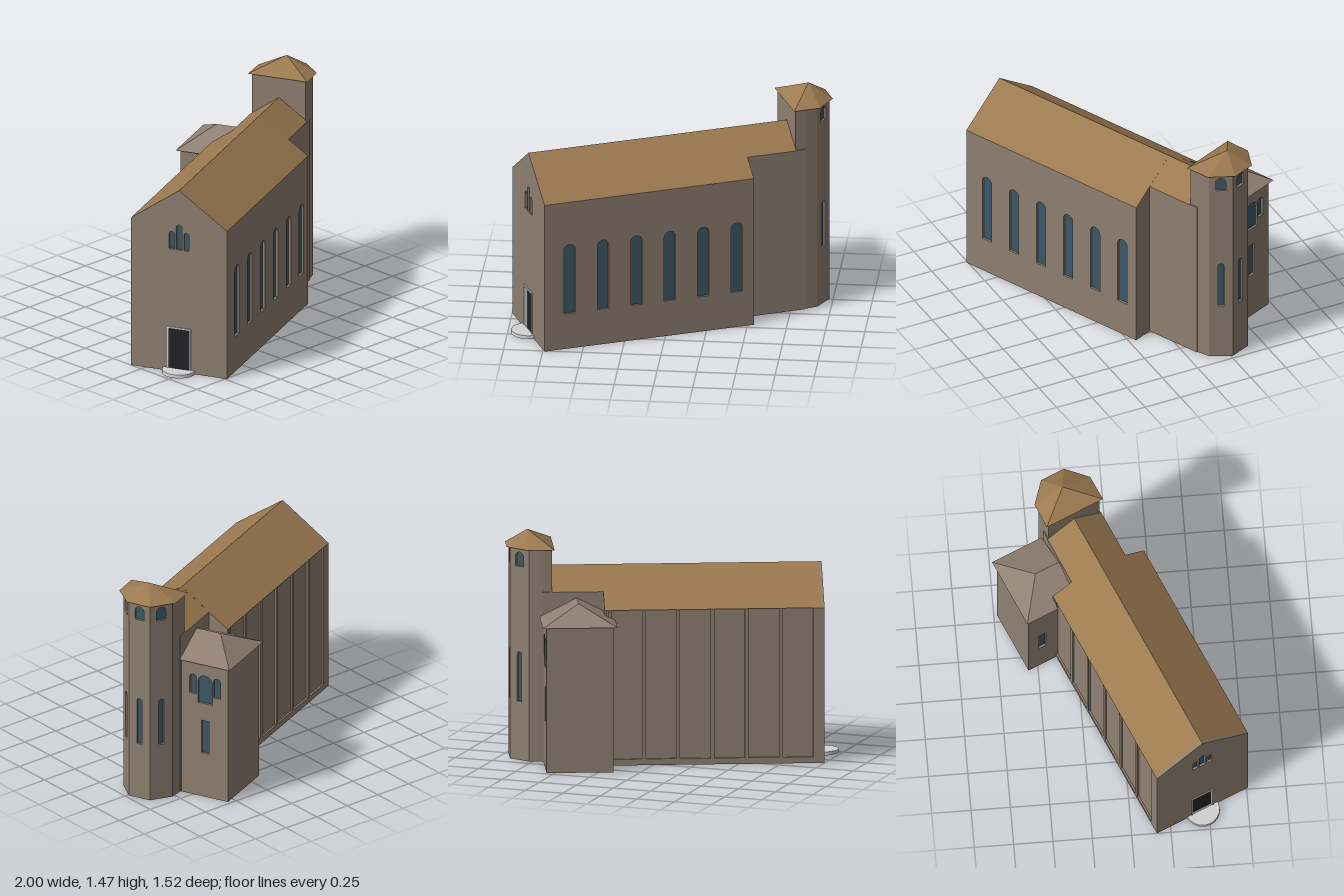
import * as THREE from 'three';

const mat = (name, color, side = THREE.DoubleSide) => {
  const m = new THREE.MeshStandardMaterial({ color, side });
  m.name = name;
  return m;
};

export function createModel() {
  const stone = mat('stone', 0x8f8072);
  const tile = mat('roof tile', 0x9c7a50);
  const glass = mat('window glass', 0x3d5866);
  const dark = mat('door black', 0x222326);
  const pale = mat('pale stone', 0xd2d2d2);
  const T = 0.016; // wall thickness

  const model = new THREE.Group();
  model.name = 'church';
  const church = new THREE.Group();
  church.name = 'building';
  church.rotation.y = THREE.MathUtils.degToRad(23.5);
  model.add(church);

  const add = (name, geo, material, parent = church) => {
    const m = new THREE.Mesh(geo, material);
    m.name = name;
    parent.add(m);
    return m;
  };
  const box = (name, x0, x1, y0, y1, z0, z1, material) => {
    const m = add(name, new THREE.BoxGeometry(x1 - x0, y1 - y0, z1 - z0), material);
    m.position.set((x0 + x1) / 2, (y0 + y1) / 2, (z0 + z1) / 2);
  };

  // Flat polygons, each cut into a fan of triangles
  const faces = (name, polys, material) => {
    const pos = [];
    for (const p of polys)
      for (let i = 1; i < p.length - 1; i++) pos.push(...p[0], ...p[i], ...p[i + 1]);
    const g = new THREE.BufferGeometry();
    g.setAttribute('position', new THREE.Float32BufferAttribute(pos, 3));
    g.computeVertexNormals();
    return add(name, g, material);
  };

  // Opening outline: centre c, width w, from y0 to y1, round-headed or square
  const opening = (path, { c, w, y0, y1, arch = true }) => {
    const r = w / 2;
    path.moveTo(c - r, y0);
    path.lineTo(c + r, y0);
    if (arch) {
      path.lineTo(c + r, y1 - r);
      path.absarc(c, y1 - r, r, 0, Math.PI, false);
    } else {
      path.lineTo(c + r, y1);
      path.lineTo(c - r, y1);
    }
    path.lineTo(c - r, y0);
    return path;
  };

  // Wall from plan point a to b, outside on the right-hand side, with recessed openings
  const wall = (name, a, b, top, openings = [], outline = null) => {
    const dx = b[0] - a[0], dz = b[1] - a[1], len = Math.hypot(dx, dz);
    const pts = outline || [[0, 0], [len, 0], [len, top], [0, top]];
    const shape = new THREE.Shape(pts.map(p => new THREE.Vector2(...p)));
    const g = new THREE.Group();
    g.name = name;
    g.position.set(a[0], 0, a[1]);
    g.rotation.y = Math.atan2(-dz, dx);
    church.add(g);
    for (const o of openings) {
      shape.holes.push(opening(new THREE.Path(), o));
      const pane = add(o.fill ? 'door' : 'windowGlass',
        new THREE.ShapeGeometry(opening(new THREE.Shape(), o), 10), o.fill || glass, g);
      pane.position.z = -T + 0.001;
    }
    const geo = new THREE.ExtrudeGeometry(shape, { depth: T, bevelEnabled: false, curveSegments: 10 });
    geo.translate(0, 0, -T);
    add(name + 'Stone', geo, stone, g);
  };

  // Main dimensions
  const W = -0.98, E = 0.415, S = 0.402, N = -0.252, MID = 0.075;
  const EAVE = 1.005, RIDGE = 1.235, CE = 0.74, CS = 0.268, CN = -0.118, CEAVE = 1.098;

  // Nave walls
  const naveWindows = [];
  for (let i = 0; i < 6; i++)
    naveWindows.push({ c: 0.168 + i * 0.2224, w: 0.076, y0: 0.24, y1: 0.715 });
  wall('naveSouthWall', [W, S], [E, S], EAVE, naveWindows);
  wall('naveNorthWall', [E, N + 0.012], [W, N + 0.012], EAVE);
  const half = MID - N, full = S - N;
  wall('westFacade', [W, N], [W, S], 0, [
    { c: half, w: 0.16, y0: 0.004, y1: 0.3, arch: false, fill: dark },
    { c: half, w: 0.042, y0: 0.83, y1: 1.0 },
    { c: half - 0.05, w: 0.036, y0: 0.83, y1: 0.95 },
    { c: half + 0.05, w: 0.036, y0: 0.83, y1: 0.95 },
  ], [[0, 0], [full, 0], [full, EAVE], [half, RIDGE], [0, EAVE]]);

  // Shoulders where the nave narrows to the choir
  const sh = S - CS;
  wall('southShoulder', [E, S], [E, CS], 0, [], [[0, 0], [sh, 0], [sh, CEAVE], [0, EAVE]]);
  wall('northShoulder', [E, CN], [E, N], 0, [], [[0, 0], [sh, 0], [sh, EAVE], [0, CEAVE]]);

  // Pilaster strips and plinth on the north wall
  for (let i = 0; i < 7; i++) {
    const x = -0.92 + i * 0.217;
    box('pilasterStrip', x - 0.012, x + 0.012, 0.04, EAVE - 0.002, N, N + 0.013, stone);
  }
  box('northPlinth', W, E, 0, 0.04, N, N + 0.013, stone);
  box('cornerPilaster', W, -0.92, 0.04, EAVE - 0.002, N, N + 0.013, stone);

  // Choir walls
  wall('choirSouthWall', [E, CS], [0.8, CS - 0.004], CEAVE);
  wall('choirNorthWall', [0.8, CN + 0.004], [E, CN], CEAVE);

  // Main roof with its narrower part over the choir
  faces('mainRoof', [
    [[W, EAVE, S], [E, EAVE, S], [E, RIDGE, MID], [W, RIDGE, MID]],
    [[E, EAVE, N], [W, EAVE, N], [W, RIDGE, MID], [E, RIDGE, MID]],
    [[E, CEAVE, CS], [CE, CEAVE, CS], [CE, RIDGE, MID], [E, RIDGE, MID]],
    [[CE, CEAVE, CN], [E, CEAVE, CN], [E, RIDGE, MID], [CE, RIDGE, MID]],
  ], tile);

  // Tower on a polygonal plan, windows on the three outer faces
  const plan = [[0.74, 0.257], [0.804, 0.257], [0.886, 0.248], [1.0, 0.15],
    [1.0, 0], [0.886, -0.102], [0.804, -0.11], [0.74, -0.11]];
  for (let i = 0; i < 7; i++) {
    const [a, b] = [plan[i], plan[i + 1]];
    const c = Math.hypot(b[0] - a[0], b[1] - a[1]) / 2;
    wall('towerWall', a, b, 1.375, i >= 2 && i <= 4 ? [
      { c, w: 0.036, y0: 0.38, y1: 0.7 },
      { c, w: 0.065, y0: 1.255, y1: 1.347 },
    ] : []);
  }
  const tw = 0.367;
  wall('towerWestWall', plan[7], plan[0], 0, [], [[0, 1.09], [tw, 1.09], [tw, 1.375], [0, 1.375]]);

  // Tower roof
  const rim = [[0.725, 0.274], [0.896, 0.272], [1.022, 0.152],
    [1.022, -0.012], [0.896, -0.126], [0.725, -0.13]].map(([x, z]) => [x, 1.373, z]);
  faces('towerRoof', rim.map((p, i) => [p, rim[(i + 1) % 6], [0.886, 1.47, 0.07]]), tile);
  faces('towerEaves', [[...rim].reverse()], tile);

  // Side annex
  const AW = 0.37, AE = 0.795, AN = -0.45, AH = 0.945;
  const at = z => CN - z;
  wall('annexEastWall', [AE, CN], [AE, AN], AH, [
    { c: at(-0.287), w: 0.104, y0: 0.655, y1: 0.85 },
    { c: at(-0.202), w: 0.05, y0: 0.71, y1: 0.847 },
    { c: at(-0.371), w: 0.05, y0: 0.71, y1: 0.847 },
    { c: at(-0.287), w: 0.055, y0: 0.305, y1: 0.535, arch: false },
  ]);
  wall('annexNorthWall', [AE, AN], [AW, AN], AH);
  wall('annexWestWall', [AW, AN], [AW, N], AH, [{ c: 0.1, w: 0.05, y0: 0.305, y1: 0.535, arch: false }]);

  // Annex roof, hipped at the north end
  const [x0, x1, xm, z0, zh, y0, y1] = [0.346, 0.82, 0.583, -0.472, -0.287, 0.94, 1.06];
  faces('annexRoof', [
    [[x0, y0, z0], [x0, y0, N], [xm, y1, N], [xm, y1, zh]],
    [[E, 0.975, N], [E, 0.975, CN], [xm, y1, CN], [xm, y1, N]],
    [[x1, y0, CN], [x1, y0, z0], [xm, y1, zh], [xm, y1, CN]],
    [[x1, y0, z0], [x0, y0, z0], [xm, y1, zh]],
  ], stone);

  // Door frame and round doorstep
  for (const z of [MID - 0.08, MID + 0.07])
    box('doorJamb', W - 0.006, W + T, 0, 0.3, z, z + 0.01, pale);
  box('doorLintel', W - 0.006, W + T, 0.29, 0.302, MID - 0.08, MID + 0.08, pale);
  const step = add('doorstep', new THREE.CylinderGeometry(0.108, 0.11, 0.022, 32, 1, false, Math.PI, Math.PI), pale);
  step.position.set(W, 0.011, MID);

  return model;
}
